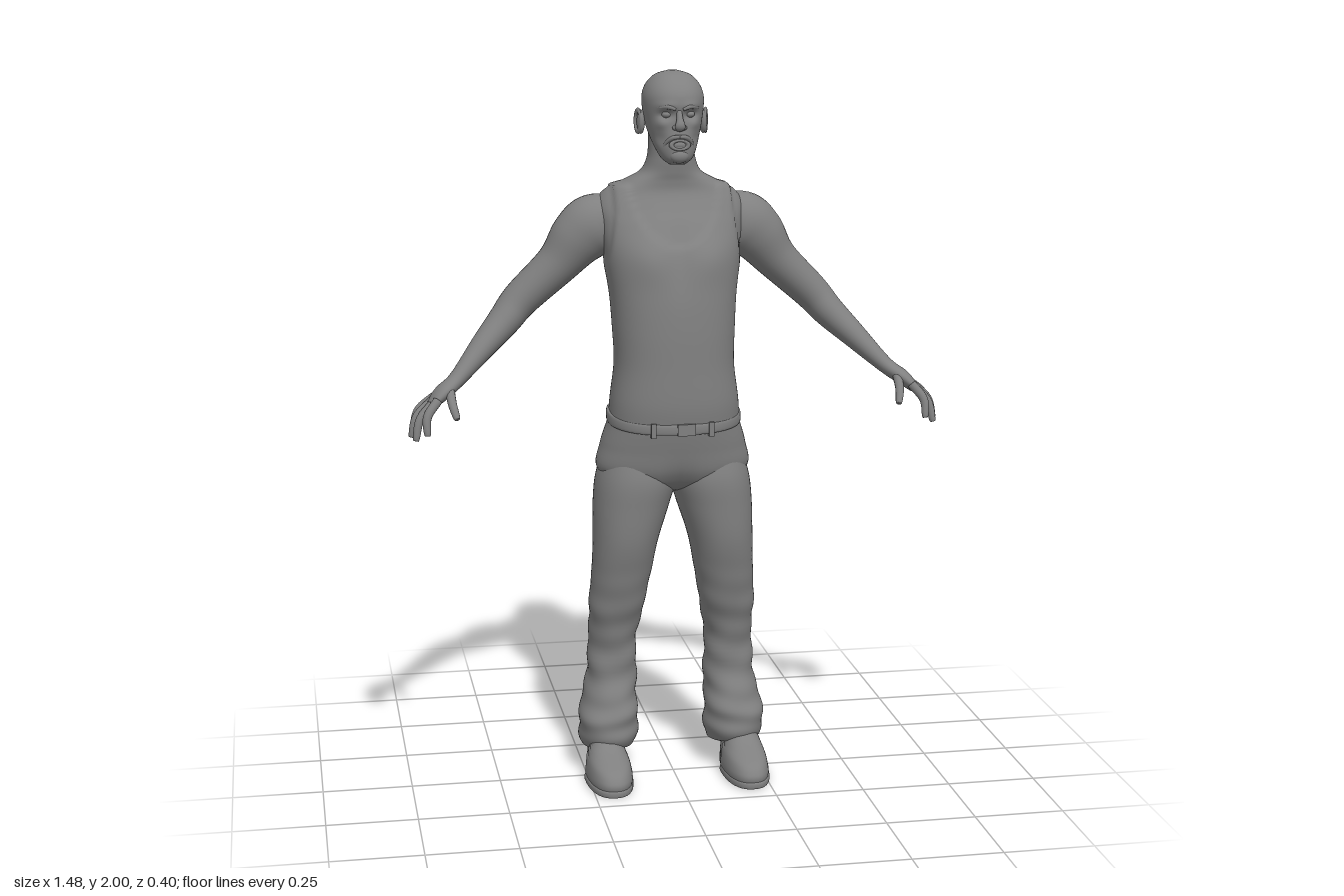
import * as THREE from 'three';

const grey = new THREE.MeshStandardMaterial({ color: 0x808080 });
grey.name = 'clay grey';
const V = (x, y, z) => new THREE.Vector3(x, y, z);
const bell = (x, y, cx, cy, w, h) => Math.exp(-(((x - cx) / w) ** 2) - ((y - cy) / h) ** 2);
const step = THREE.MathUtils.smoothstep;

// Closed surface through a list of rings, capped at both ends
function skin(rings) {
  const n = rings[0].length, m = rings.length, pos = [], idx = [];
  for (const ring of rings) for (const p of ring) pos.push(p.x, p.y, p.z);
  for (const ring of [rings[0], rings[m - 1]]) {
    const c = ring.reduce((s, p) => s.add(p), V(0, 0, 0)).divideScalar(n);
    pos.push(c.x, c.y, c.z);
  }
  for (let j = 0; j < n; j++) {
    const k = (j + 1) % n;
    for (let i = 0; i < m - 1; i++) {
      const a = i * n + j, b = i * n + k;
      idx.push(a, a + n, b, b, a + n, b + n);
    }
    idx.push(m * n, j, k, m * n + 1, (m - 1) * n + k, (m - 1) * n + j);
  }
  const g = new THREE.BufferGeometry();
  g.setAttribute('position', new THREE.Float32BufferAttribute(pos, 3));
  g.setIndex(idx);
  g.computeVertexNormals();
  return g;
}

// Horizontal sections, bottom to top: [y, front z, back z, min x, max x]
function stack(rows, { n = 40, steps = 40, power = 2.2, deform } = {}) {
  const A = new THREE.CatmullRomCurve3(rows.map(r => V(r[0], r[1], r[2])), false, 'catmullrom', 0.5);
  const B = new THREE.CatmullRomCurve3(rows.map(r => V(r[3], r[4], 0)), false, 'catmullrom', 0.5);
  const sq = v => Math.sign(v) * Math.abs(v) ** (2 / power);
  const rings = [];
  for (let i = 0; i <= steps; i++) {
    const a = A.getPoint(i / steps), b = B.getPoint(i / steps), ring = [];
    const cx = (b.x + b.y) / 2, cz = (a.y + a.z) / 2;
    for (let j = 0; j < n; j++) {
      const t = j / n * Math.PI * 2;
      const p = V(cx + sq(Math.cos(t)) * (b.y - b.x) / 2, a.x, cz + sq(Math.sin(t)) * (a.y - a.z) / 2);
      if (deform) deform(p, cx, cz, t);
      ring.push(p);
    }
    rings.push(ring);
  }
  return skin(rings);
}

// Limb along a path: [x, y, z, thickness radius, width radius]
function limb(pts, { n = 24, steps = 40, side = V(0, 0, 1) } = {}) {
  const C = new THREE.CatmullRomCurve3(pts.map(p => V(p[0], p[1], p[2])), false, 'catmullrom', 0.5);
  const R = new THREE.CatmullRomCurve3(pts.map(p => V(p[3], p[4], 0)), false, 'catmullrom', 0.5);
  const rings = [];
  for (let i = 0; i <= steps; i++) {
    const c = C.getPoint(i / steps), r = R.getPoint(i / steps), t = C.getTangent(i / steps);
    const s = side.clone().addScaledVector(t, -side.dot(t)).normalize();
    const u = s.clone().cross(t);
    rings.push(Array.from({ length: n }, (_, j) => {
      const a = j / n * Math.PI * 2;
      return c.clone().addScaledVector(s, Math.cos(a) * r.y).addScaledVector(u, Math.sin(a) * r.x);
    }));
  }
  return skin(rings);
}

function mirrored(geo) {
  const g = geo.clone().scale(-1, 1, 1), ix = g.index.array;
  for (let i = 0; i < ix.length; i += 3) [ix[i], ix[i + 1]] = [ix[i + 1], ix[i]];
  g.computeVertexNormals();
  return g;
}

function ball(x, y, z, sx, sy, sz) {
  return new THREE.SphereGeometry(1, 20, 14).scale(sx, sy, sz).translate(x, y, z);
}

export function createModel() {
  const model = new THREE.Group();
  model.name = 'standingMan';
  const add = (name, geo) => {
    const m = new THREE.Mesh(geo, grey);
    m.name = name;
    model.add(m);
  };
  const pair = (name, geo) => {
    add(name + 'Left', geo);
    add(name + 'Right', mirrored(geo));
  };
  const sym = rows => rows.map(([y, f, b, w]) => [y, f, b, -w, w]);

  // Torso and neck, with the vest raised slightly above the skin
  add('torso', stack(sym([
    [1.03, .145, -.14, .176], [1.1, .152, -.132, .172], [1.2, .15, -.132, .16], [1.3, .147, -.146, .163],
    [1.4, .138, -.162, .17], [1.5, .118, -.184, .186], [1.58, .08, -.193, .2], [1.63, .05, -.19, .205],
    [1.67, .03, -.168, .18], [1.7, .028, -.138, .125], [1.725, .032, -.118, .083], [1.76, .036, -.103, .066],
    [1.8, .035, -.1, .062], [1.85, .03, -.1, .062],
  ]), { n: 96, steps: 110, power: 2.35, deform(p, cx, cz) {
    const ax = Math.abs(p.x), y = p.y, front = p.z > cz;
    const scoop = Math.hypot(ax / .125, (1.72 - y) / (front ? .19 : .13));
    const edge = .16 + Math.max(0, 1.62 - y) * .15;
    const vest = step(scoop, .96, 1.04) * (y < 1.42 ? 1 : 1 - step(ax, edge - .006, edge + .006)) * (1 - step(y, 1.68, 1.7));
    p.x += p.x * .03 * vest;
    p.z += (front ? 1 : -1) * .006 * vest;
    p.y += .004 * vest * step(y, 1.6, 1.66);
    if (front) p.z += .008 * bell(ax, y, .085, 1.5, .05, .06) - .006 * bell(p.x, y, 0, 1.5, .025, .09);
    else p.z += .012 * bell(p.x, y, 0, 1.4, .03, .25);
  } }));

  // Arms with palms, fingers and thumbs
  pair('arm', limb([
    [.13, 1.58, -.08, .06, .06], [.2, 1.575, -.08, .086, .08], [.25, 1.54, -.082, .08, .077],
    [.31, 1.467, -.09, .06, .066], [.41, 1.372, -.097, .051, .06], [.46, 1.315, -.078, .045, .054],
    [.52, 1.255, -.04, .036, .043], [.6, 1.175, .02, .023, .03], [.645, 1.142, .05, .021, .042],
    [.677, 1.112, .06, .013, .043],
  ], { n: 32, steps: 70 }));
  const fingers = {
    indexFinger: [[.66, 1.13, .092], [.69, 1.09, .112], [.692, 1.04, .127]],
    middleFinger: [[.665, 1.125, .07], [.708, 1.08, .088], [.722, 1.022, .1]],
    ringFinger: [[.668, 1.125, .048], [.715, 1.083, .06], [.732, 1.026, .066]],
    littleFinger: [[.664, 1.13, .026], [.708, 1.095, .03], [.725, 1.05, .032]],
    thumb: [[.625, 1.155, .06], [.622, 1.122, .105], [.612, 1.085, .138]],
  };
  for (const [name, [a, b, c]] of Object.entries(fingers)) {
    const mid = c.map((v, i) => b[i] + (v - b[i]) * .9);
    pair(name, limb([[...a, .013, .014], [...b, .012, .012], [...mid, .009, .009], [...c, .002, .002]], { n: 12, steps: 16 }));
  }

  // Head with eye sockets, cheekbones and cheek hollows
  add('head', stack(sym([
    [1.752, .085, .04, .022], [1.768, .103, .005, .042], [1.8, .106, -.04, .058], [1.83, .102, -.08, .068],
    [1.86, .098, -.103, .076], [1.9, .1, -.115, .082], [1.935, .096, -.115, .082], [1.965, .075, -.097, .07],
    [1.988, .042, -.062, .046], [1.999, .0, -.02, .012],
  ]), { n: 64, steps: 60, deform(p, cx, cz) {
    if (p.z < cz) return;
    const ax = Math.abs(p.x), y = p.y;
    p.z += -.016 * bell(ax, y, .033, 1.885, .02, .012) + .005 * bell(ax, y, .034, 1.91, .028, .01)
      + .005 * bell(ax, y, .048, 1.86, .015, .012) - .007 * bell(ax, y, .05, 1.82, .014, .02);
  } }));
  add('nose', limb([[0, 1.9, .092, .006, .007], [0, 1.875, .103, .009, .009], [0, 1.856, .11, .01, .014],
    [0, 1.845, .1, .005, .01]], { side: V(1, 0, 0), n: 16, steps: 16 }));
  pair('nostril', ball(.012, 1.852, .1, .008, .007, .01));
  pair('eye', ball(.032, 1.886, .078, .013, .009, .011));
  pair('brow', limb([[.01, 1.9, .1, .004, .004], [.03, 1.907, .096, .006, .005], [.055, 1.903, .076, .003, .003]],
    { n: 12, steps: 14 }));
  pair('ear', ball(.086, 1.86, -.018, .011, .033, .02).rotateZ(0));
  pair('earRim', new THREE.TorusGeometry(.019, .005, 8, 24).scale(.9, 1.5, 1)
    .rotateY(Math.PI / 2 - .3).translate(.093, 1.862, -.02));
  // Mouth framed by moustache and beard
  add('lips', new THREE.TorusGeometry(.02, .006, 8, 28).scale(1.15, .6, 1).rotateX(-.05).translate(0, 1.806, .104));
  add('teeth', ball(0, 1.806, .099, .02, .01, .008));
  pair('moustache', limb([[0, 1.828, .106, .005, .004], [.02, 1.825, .102, .006, .005], [.035, 1.808, .087, .006, .005],
    [.036, 1.785, .078, .004, .004]], { n: 12, steps: 20 }));
  add('chinBeard', ball(0, 1.776, .093, .026, .02, .018));

  // Trousers: seat, then legs with folds that grow towards the hem
  add('trouserSeat', stack(sym([
    [.825, .0, -.06, .03], [.855, .085, -.13, .14], [.9, .122, -.153, .212], [.97, .138, -.157, .204],
    [1.03, .149, -.15, .186], [1.05, .149, -.145, .182],
  ]), { n: 56, deform(p, cx, cz) {
    if (p.z < cz) p.z += .02 * bell(p.x, p.y, 0, .9, .025, .07);
    else p.z -= .014 * bell(p.x, p.y, 0, .86, .04, .06);
  } }));
  pair('trouserLeg', stack([
    [.065, .03, -.12, .12, .24], [.075, .05, -.138, .108, .255], [.12, .065, -.145, .1, .268], [.2, .055, -.145, .1, .26],
    [.28, .028, -.14, .1, .243], [.4, .03, -.134, .1, .235], [.5, .06, -.12, .082, .236], [.6, .085, -.11, .064, .23],
    [.7, .108, -.125, .044, .226], [.8, .116, -.146, .012, .224], [.88, .118, -.15, -.01, .215], [.96, .1, -.12, .0, .19],
  ], { n: 48, steps: 90, deform(p, cx, cz, t) {
    const k = 1 + (1 - step(p.y, .3, .7)) * (.035 * Math.sin(p.y * 75 + 2 * Math.sin(t + .6)) + .02 * Math.sin(p.y * 38 + 3 * t));
    p.x = cx + (p.x - cx) * k;
    p.z = cz + (p.z - cz) * k;
    p.y += (1 - step(p.y, .08, .25)) * (p.z + .08) * .18;
  } }));

  // Belt, buckle and belt loops, lower at the front
  const slope = p => { p.y -= p.z * .1; };
  add('belt', stack(sym([
    [1.036, .147, -.146, .18], [1.04, .156, -.153, .187], [1.064, .156, -.151, .186], [1.068, .146, -.142, .178],
  ]), { n: 56, steps: 12, power: 2.3, deform: slope }));
  add('buckle', new THREE.BoxGeometry(.05, .032, .012).translate(.01, 1.037, .156));
  for (const [x, z] of [[.08, .146], [.085, -.142]])
    pair('beltLoop', new THREE.BoxGeometry(.014, .04, .016).translate(x, 1.05 - z * .1, z));

  // Shoes
  pair('shoe', stack([
    [.01, .19, -.112, .138, .252], [.02, .197, -.118, .132, .26], [.04, .196, -.117, .132, .26],
    [.065, .172, -.114, .137, .256], [.088, .11, -.11, .145, .25], [.11, .065, -.105, .15, .245], [.15, .03, -.1, .15, .24],
  ], { power: 2.4, deform(p) { p.x += p.z < .02 ? (.196 - p.x) * .15 : 0; } }));
  pair('sole', stack([
    [0, .194, -.113, .136, .256], [.004, .2, -.12, .13, .263], [.018, .2, -.12, .13, .263], [.022, .193, -.113, .136, .256],
  ], { steps: 9, power: 2.4, deform(p) { p.x += p.z < .02 ? (.196 - p.x) * .15 : 0; } }));

  return model;
}
